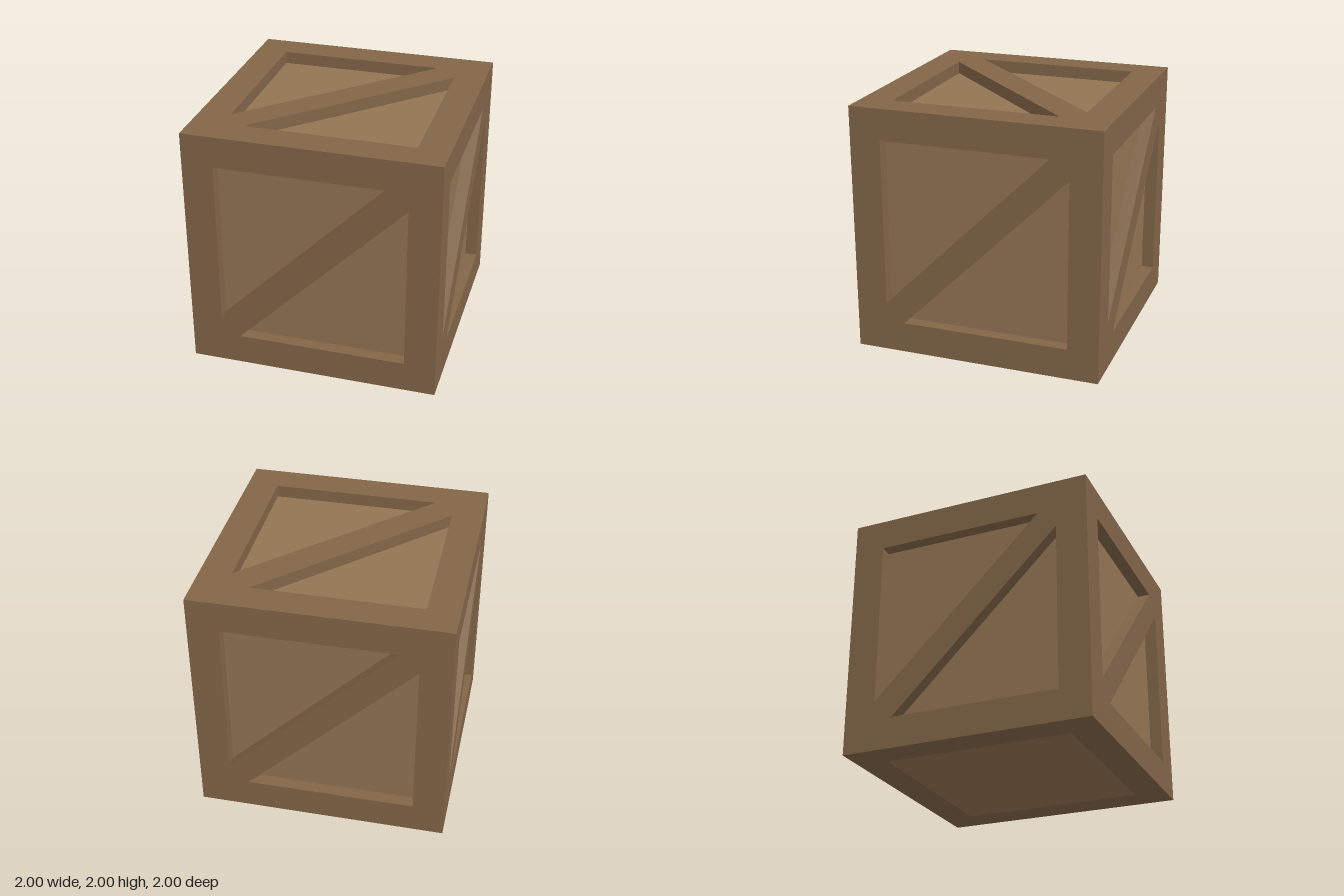
import * as THREE from 'three';

const HALF = 1, INNER = 0.75, DEPTH = 0.1;

const frameWood = new THREE.MeshStandardMaterial({ color: 0x826648 });
const panelWood = new THREE.MeshStandardMaterial({ color: 0x937453 });

const points = (list) => list.map(([x, y]) => new THREE.Vector2(x, y));
const square = (s) => points([[-s, -s], [s, -s], [s, s], [-s, s]]);

// The two triangular openings left by a diagonal brace
const bracedOpenings = (upper, lower) => [
  points([[-INNER, -upper], [-INNER, INNER], [upper, INNER]]),
  points([[-lower, -INNER], [INNER, -INNER], [INNER, lower]]),
];

// Square frame plate facing +z, its outer edge mitred to meet its neighbours
function framePlate(openings) {
  const shape = new THREE.Shape(square(HALF));
  shape.holes = openings.map((o) => new THREE.Path(o));
  const geometry = new THREE.ExtrudeGeometry(shape, { depth: DEPTH, bevelEnabled: false });
  geometry.translate(0, 0, HALF - DEPTH);
  const p = geometry.attributes.position;
  for (let i = 0; i < p.count; i++) {
    if (p.getZ(i) > HALF - DEPTH / 2) continue;
    for (const axis of [0, 1]) {
      const v = p.getComponent(i, axis);
      if (Math.abs(v) > 0.99) p.setComponent(i, axis, Math.sign(v) * (HALF - DEPTH));
    }
  }
  geometry.computeVertexNormals();
  return geometry;
}

export function createModel() {
  const crate = new THREE.Group();
  crate.name = 'crate';

  const add = (name, geometry, material) => {
    const mesh = new THREE.Mesh(geometry, material);
    mesh.name = name;
    mesh.position.y = HALF;
    crate.add(mesh);
    return mesh;
  };

  // Inner box whose faces are the recessed panels
  const size = 2 * (HALF - DEPTH);
  add('innerPanels', new THREE.BoxGeometry(size, size, size), panelWood);

  // Four braced sides, all with the same diagonal
  const side = framePlate(bracedOpenings(0.6, 0.6));
  ['frontFrame', 'leftFrame', 'backFrame', 'rightFrame'].forEach((name, i) => {
    add(name, side, frameWood).rotation.y = (i * Math.PI) / 2;
  });

  // Lid with a slightly wider brace
  add('topFrame', framePlate(bracedOpenings(0.575, 0.59)), frameWood).rotation.x = -Math.PI / 2;

  // Bottom: plain frame with a flush panel
  add('bottomFrame', framePlate([square(INNER)]), frameWood).rotation.x = Math.PI / 2;
  add('bottomPanel', new THREE.BoxGeometry(2 * INNER, DEPTH, 2 * INNER), panelWood).position.y = DEPTH / 2;

  return crate;
}
